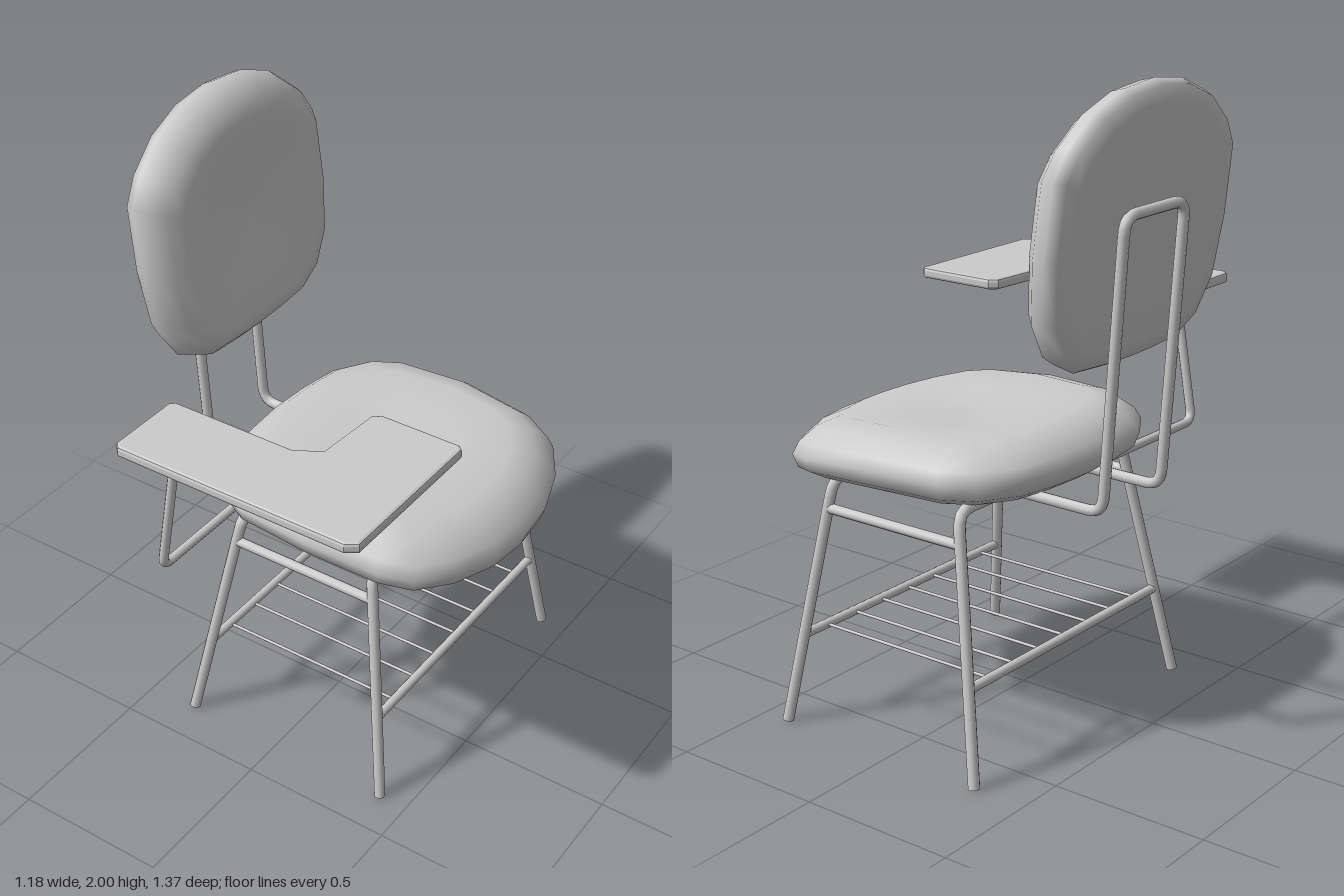
import * as THREE from 'three';

const V = (x, y, z) => new THREE.Vector3(x, y, z);
const mat = new THREE.MeshStandardMaterial({ color: 0xcccccc });
const thinMat = new THREE.MeshStandardMaterial({ color: 0xcccccc, side: THREE.DoubleSide });
const MID = -0.15; // z of the chair's own centre line

// Round tube along a polyline with softened corners and flat end caps
function tube(name, pts, radius, bend = 0.05, segments = 90) {
  const path = new THREE.CurvePath();
  let from = pts[0];
  for (let i = 1; i < pts.length - 1; i++) {
    const p = pts[i];
    const a = p.clone().add(pts[i - 1].clone().sub(p).setLength(bend));
    const b = p.clone().add(pts[i + 1].clone().sub(p).setLength(bend));
    path.add(new THREE.LineCurve3(from, a));
    path.add(new THREE.QuadraticBezierCurve3(a, p, b));
    from = b;
  }
  const end = pts[pts.length - 1];
  path.add(new THREE.LineCurve3(from, end));
  const group = new THREE.Group();
  group.name = name;
  group.add(new THREE.Mesh(new THREE.TubeGeometry(path, pts.length > 2 ? segments : 1, radius, 10), mat));
  for (const [p, q] of [[pts[0], pts[1]], [end, pts[pts.length - 2]]]) {
    const cap = new THREE.Mesh(new THREE.CircleGeometry(radius, 10), thinMat);
    cap.position.copy(p);
    cap.lookAt(p.clone().multiplyScalar(2).sub(q));
    group.add(cap);
  }
  group.children.forEach((m) => { m.name = name; });
  return group;
}

// Cushion: a mirrored half outline, scaled about a centre into stacked rings, placed by a rule
function cushion(name, half, centre, rings, place) {
  const outline = [...half, ...half.slice(1, -1).reverse().map(([u, v]) => [u, -v])];
  const n = outline.length, pos = [], index = [];
  rings.forEach(([s, h], i) => {
    outline.forEach(([u, v], j) => {
      pos.push(...place(centre + (u - centre) * s, v * s, h));
      if (i === rings.length - 1) return;
      const k = (j + 1) % n, a = i * n + j, b = i * n + k, c = b + n, d = a + n;
      if (s > 0) index.push(a, b, c, a, c, d);
      else index.push(a, c, d);
    });
  });
  const geo = new THREE.BufferGeometry();
  geo.setAttribute('position', new THREE.Float32BufferAttribute(pos, 3));
  geo.setIndex(index);
  geo.computeVertexNormals();
  const mesh = new THREE.Mesh(geo, mat);
  mesh.name = name;
  return mesh;
}

// Point on a splayed leg at height y (front: +x pair, side: +1 or -1)
function onLeg(front, side, y) {
  const t = y / 0.785;
  const x = front ? 0.405 - 0.115 * t : -0.33 + 0.14 * t;
  return V(x, y, MID + side * (0.515 - 0.113 * t));
}

export function createModel() {
  const model = new THREE.Group();

  // Seat: rounded outline, slightly dished top, front edge dropping away
  model.add(cushion('seat',
    [[0.588, 0], [0.575, 0.145], [0.525, 0.3], [0.45, 0.415], [0.35, 0.465], [0.1, 0.488],
      [-0.16, 0.465], [-0.26, 0.41], [-0.335, 0.29], [-0.358, 0.15], [-0.367, 0]], 0.11,
    [[0, 0.785], [0.6, 0.79], [0.88, 0.797], [0.97, 0.825], [1, 0.87], [0.96, 0.907],
      [0.86, 0.945], [0.71, 0.965], [0.4, 0.948], [0, 0.94]],
    (u, v, h) => [u, h - 0.072 * (Math.max(0, u - 0.05) / 0.53) ** 2, -0.145 - v]));

  // Backrest: leaning cushion with a shallow hollow in front
  model.add(cushion('backrest',
    [[2, 0], [1.985, 0.14], [1.935, 0.27], [1.85, 0.375], [1.77, 0.425], [1.55, 0.43],
      [1.36, 0.405], [1.25, 0.335], [1.2, 0.235], [1.19, 0.1], [1.188, 0]], 1.6,
    [[0, 0], [0.5, 0], [0.85, 0], [0.96, 0.01], [1, 0.045], [0.97, 0.09],
      [0.88, 0.13], [0.76, 0.145], [0.4, 0.125], [0, 0.118]],
    (u, v, h) => [-0.503 - 0.12 * (u - 1.2) + h, u, -0.14 + v]));

  // Two arched leg frames, each with a cross bar near the floor
  for (const front of [true, false]) {
    const p = front ? 'front' : 'rear';
    model.add(tube(p + 'Legs', [onLeg(front, 1, 0.003), onLeg(front, 1, 0.785),
      onLeg(front, -1, 0.785), onLeg(front, -1, 0.003)], 0.018));
    model.add(tube(p + 'CrossBar', [onLeg(front, 1, 0.285), onLeg(front, -1, 0.285)], 0.015));
  }

  // Side rails below the seat
  for (const side of [1, -1]) {
    model.add(tube('sideRail', [onLeg(true, side, 0.69), onLeg(false, side, 0.69)], 0.016));
  }

  // Book rack of thin wires
  for (let i = 0; i < 7; i++) {
    const z = MID + (i - 3) * 0.125;
    model.add(tube('rackWire', [V(-0.279, 0.285, z), V(0.363, 0.285, z)], 0.005));
  }

  // Closed tube loop running under the seat and up behind the backrest
  const z1 = -0.01, z2 = -0.305, zm = (z1 + z2) / 2;
  model.add(tube('backSupport', [V(0.195, 0.785, zm), V(0.195, 0.785, z1), V(-0.515, 0.78, z1),
    V(-0.578, 1.645, z1), V(-0.578, 1.645, z2), V(-0.515, 0.78, z2),
    V(0.195, 0.785, z2), V(0.195, 0.785, zm)], 0.017, 0.05, 220));

  // Bent arm carrying the writing tablet
  model.add(tube('tabletArm', [V(-0.245, 0.78, -0.01), V(-0.245, 0.78, 0.58), V(-0.172, 1.217, 0.58),
    V(0.34, 1.217, 0.58), V(0.34, 1.217, 0.39)], 0.015, 0.04, 160));

  // L-shaped writing tablet with clipped corners
  const shape = new THREE.Shape([[-0.29, 0.69], [0.485, 0.69], [0.52, 0.665], [0.52, 0.145], [0.505, 0.13],
    [0.24, 0.13], [0.215, 0.15], [0.2, 0.37], [0.12, 0.415], [-0.295, 0.415], [-0.31, 0.43], [-0.31, 0.67]]
    .map(([x, z]) => new THREE.Vector2(x, -z)));
  const top = new THREE.ExtrudeGeometry(shape, {
    depth: 0.015, bevelThickness: 0.01, bevelSize: 0.01, bevelOffset: -0.01, bevelSegments: 2,
  });
  top.rotateX(-Math.PI / 2);
  const tablet = new THREE.Mesh(top, mat);
  tablet.name = 'writingTablet';
  tablet.position.y = 1.242;
  model.add(tablet);

  return model;
}
